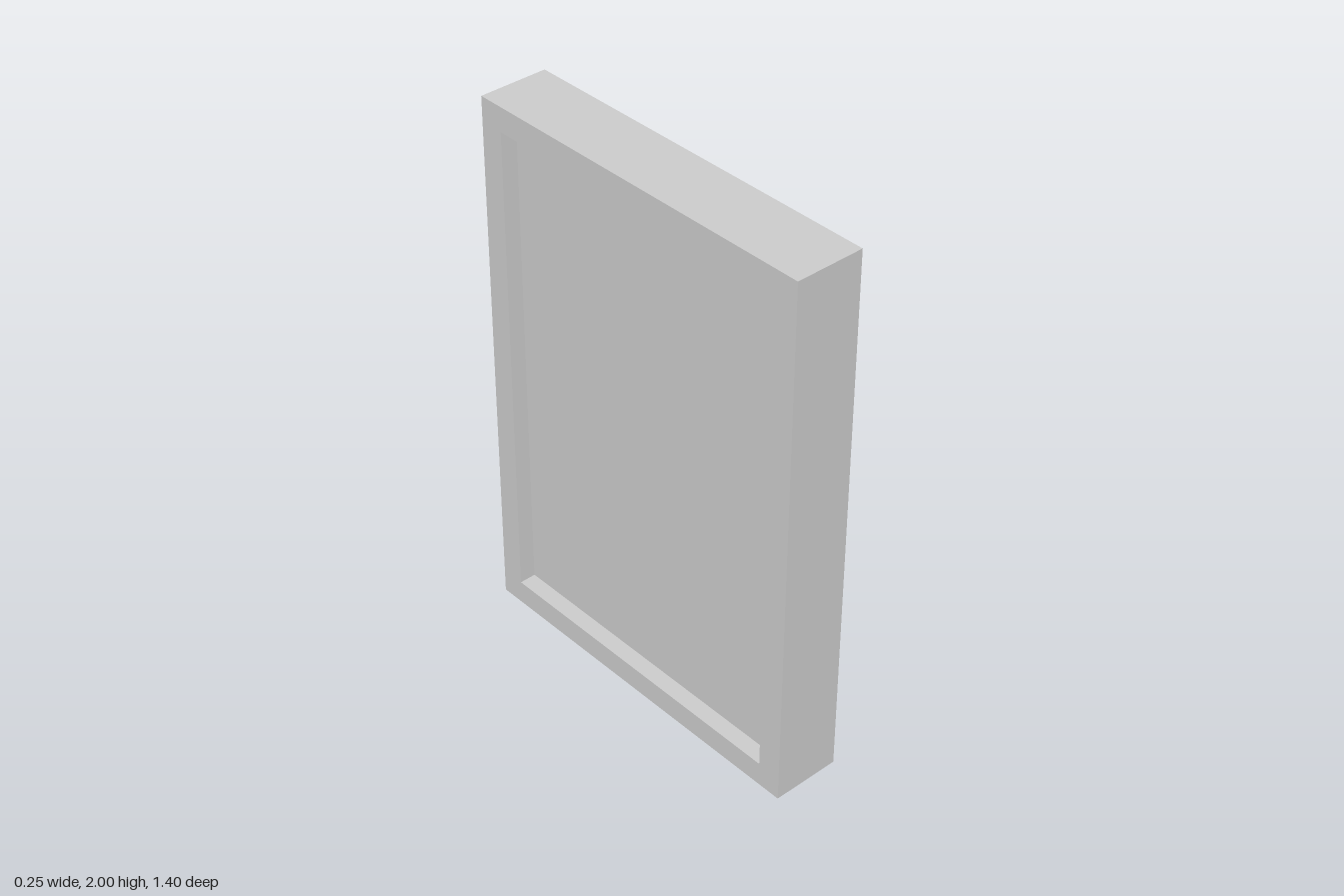
import * as THREE from 'three';

const HALF_DEPTH = 0.127;   // half the thickness of the tray
const WIDTH = 1.4, HEIGHT = 2, BORDER = 0.09, RECESS = 0.062;

export function createModel() {
  const model = new THREE.Group();
  const material = new THREE.MeshStandardMaterial({
    color: 0xcccccc, flatShading: true, side: THREE.DoubleSide,
  });

  // Drawn facing +z, then turned so the closed face looks to -x
  const tray = new THREE.Group();
  tray.name = 'tray';
  tray.position.y = HEIGHT / 2;
  tray.rotation.y = -Math.PI / 2;
  model.add(tray);

  const add = (name, geometry, parent = tray) => {
    const mesh = new THREE.Mesh(geometry, material);
    mesh.name = name;
    parent.add(mesh);
    return mesh;
  };

  // Four thin walls around a w x h rectangle, between two depths
  const addWalls = (name, w, h, z0, z1) => {
    const group = new THREE.Group();
    group.name = name;
    tray.add(group);
    const depth = z1 - z0, z = (z0 + z1) / 2;
    for (const s of [-1, 1]) {
      const side = add('sideWall', new THREE.PlaneGeometry(depth, h), group);
      side.rotation.y = s * Math.PI / 2;
      side.position.set(s * w / 2, 0, z);
      const end = add(s > 0 ? 'topWall' : 'bottomWall', new THREE.PlaneGeometry(w, depth), group);
      end.rotation.x = -s * Math.PI / 2;
      end.position.set(0, s * h / 2, z);
    }
  };

  const rectangle = (path, w, h) => path
    .moveTo(-w / 2, -h / 2).lineTo(w / 2, -h / 2)
    .lineTo(w / 2, h / 2).lineTo(-w / 2, h / 2).closePath();

  const innerW = WIDTH - 2 * BORDER, innerH = HEIGHT - 2 * BORDER;

  // Outer shell, open on the +x side
  addWalls('outerWalls', WIDTH, HEIGHT, -HALF_DEPTH, HALF_DEPTH);

  // Flat border around the recess
  const border = rectangle(new THREE.Shape(), WIDTH, HEIGHT);
  border.holes.push(rectangle(new THREE.Path(), innerW, innerH));
  add('border', new THREE.ShapeGeometry(border)).position.z = HALF_DEPTH;

  // Recess pressed into the closed face
  addWalls('recessWalls', innerW, innerH, HALF_DEPTH - RECESS, HALF_DEPTH);
  add('recessPanel', new THREE.PlaneGeometry(innerW, innerH)).position.z = HALF_DEPTH - RECESS;

  return model;
}
